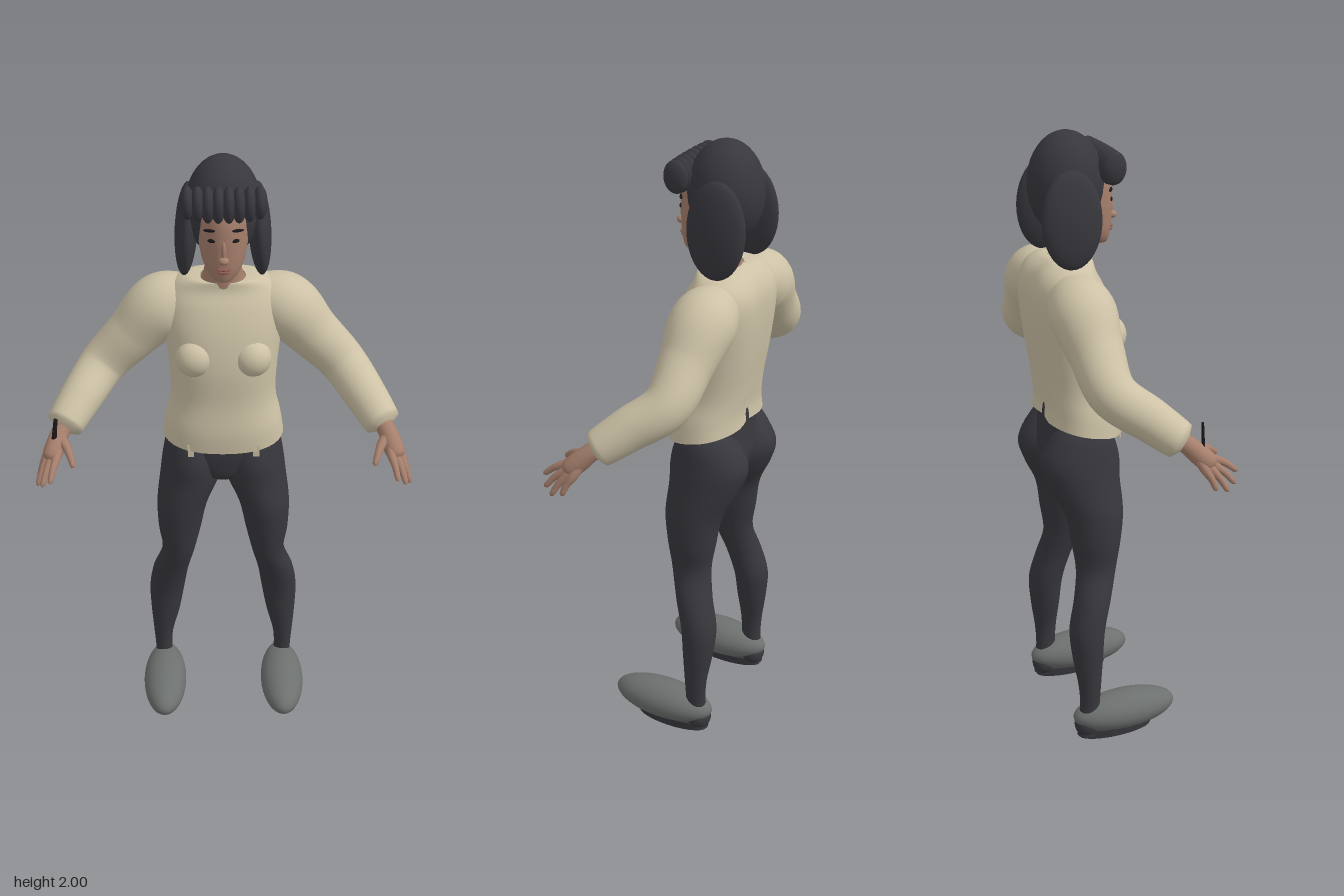
import * as THREE from 'three';

const paint = (name, color) => {
  const m = new THREE.MeshStandardMaterial({ color, side: THREE.DoubleSide });
  m.name = name;
  return m;
};

// Catmull-Rom interpolation through a list of numbers, t from 0 to 1
function smooth(v, t) {
  const n = v.length - 1, i = Math.min(Math.floor(t * n), n - 1), f = t * n - i;
  const p = k => v[Math.max(0, Math.min(n, k))];
  const [a, b, c, d] = [p(i - 1), p(i), p(i + 1), p(i + 2)];
  return b + 0.5 * f * (c - a + f * (2 * a - 5 * b + 4 * c - d + f * (3 * (b - c) + d - a)));
}

// Closed-ring surface: at(u, angle) gives a point
function skinGrid(rows, cols, at) {
  const pos = [], idx = [];
  for (let i = 0; i <= rows; i++)
    for (let j = 0; j < cols; j++) pos.push(...at(i / rows, (j / cols) * Math.PI * 2));
  for (let i = 0; i < rows; i++)
    for (let j = 0; j < cols; j++) {
      const k = (j + 1) % cols, a = i * cols + j, b = i * cols + k;
      idx.push(a, a + cols, b, b, a + cols, b + cols);
    }
  const g = new THREE.BufferGeometry();
  g.setAttribute('position', new THREE.Float32BufferAttribute(pos, 3));
  g.setIndex(idx);
  g.computeVertexNormals();
  return g;
}

// Upright body from rings [y, centre x, radius x, centre z, radius z], bottom to top
function stack(rings, { power = 2, adjust = p => p, rows = 48, cols = 40 } = {}) {
  const track = [0, 1, 2, 3, 4].map(k => rings.map(r => r[k]));
  const bulge = v => Math.sign(v) * Math.abs(v) ** (2 / power);
  return skinGrid(rows, cols, (u, a) => {
    const [y, cx, rx, cz, rz] = track.map(v => smooth(v, u));
    return adjust([cx + rx * bulge(Math.cos(a)), y, cz + rz * bulge(Math.sin(a))]);
  });
}

// Round limb along points [x, y, z, radius], side = 1 left or -1 right
function limb(points, side, rows = 30, cols = 20) {
  const curve = new THREE.CatmullRomCurve3(points.map(p => new THREE.Vector3(p[0] * side, p[1], p[2])));
  const radii = points.map(p => p[3]);
  const { normals, binormals } = curve.computeFrenetFrames(rows);
  return skinGrid(rows, cols, (u, a) => {
    const i = Math.round(u * rows), r = Math.max(smooth(radii, curve.getUtoTmapping(u)), 0.0005);
    return curve.getPointAt(u)
      .addScaledVector(normals[i], r * Math.cos(a))
      .addScaledVector(binormals[i], -r * Math.sin(a)).toArray();
  });
}

export function createModel() {
  const model = new THREE.Group();
  const knit = paint('cream knit', 0xcdc2a6);
  const dark = paint('charcoal', 0x38373d);
  const shoe = paint('shoe grey', 0x6c706e);
  const skin = paint('skin', 0xa67f6c);
  const black = paint('black', 0x1b1819);
  const lipRed = paint('lips', 0x8f5c50);

  const add = (name, geometry, material) => {
    const m = new THREE.Mesh(geometry, material);
    m.name = name;
    model.add(m);
    return m;
  };
  const ball = new THREE.SphereGeometry(1, 32, 20);
  const blob = (name, material, p, s) => {
    const m = add(name, ball, material);
    m.position.set(...p);
    m.scale.set(...s);
    return m;
  };

  // Sweater body: hem rises to the back, shallow groove along the spine
  add('sweaterBody', stack([
    [1.05, 0, 0.195, -0.072, 0.125], [1.12, 0, 0.186, -0.07, 0.125], [1.22, 0, 0.168, -0.08, 0.125],
    [1.34, 0, 0.174, -0.09, 0.135], [1.45, 0, 0.187, -0.105, 0.132], [1.53, 0, 0.188, -0.118, 0.118],
    [1.58, 0, 0.165, -0.12, 0.095], [1.61, 0, 0.12, -0.105, 0.075], [1.615, 0, 0.07, -0.09, 0.06]
  ], {
    power: 2.3,
    adjust: ([x, y, z]) => {
      const low = Math.max(0, 1 - (y - 1.05) / 0.15);
      const groove = z < -0.15 ? 0.016 * Math.exp(-((x / 0.045) ** 2)) : 0;
      return [x, y + low * (0.05 - z) * 0.2, z + groove];
    }
  }), knit);

  // Hips under the hem
  add('hips', stack([
    [0.885, 0, 0.03, -0.08, 0.03], [0.92, 0, 0.1, -0.085, 0.085], [0.98, 0, 0.18, -0.09, 0.105],
    [1.05, 0, 0.18, -0.085, 0.103], [1.14, 0, 0.16, -0.08, 0.1]
  ]), dark);

  for (const s of [1, -1]) {
    const side = s > 0 ? 'left' : 'right';

    // Chest and hem tabs
    blob(side + 'Chest', knit, [s * 0.09, 1.375, 0.005], [0.06, 0.06, 0.053]);
    const tab = add(side + 'HemTab', new THREE.BoxGeometry(0.02, 0.045, 0.006), knit);
    tab.position.set(s * 0.105, 1.052, 0.035);

    // Sleeve, with the cuff turned in at the end
    add(side + 'Sleeve', limb([
      [0.09, 1.525, -0.13, 0.075], [0.19, 1.495, -0.125, 0.103], [0.285, 1.4, -0.117, 0.085],
      [0.38, 1.302, -0.103, 0.074], [0.45, 1.23, -0.01, 0.067], [0.505, 1.168, 0.07, 0.055],
      [0.507, 1.166, 0.073, 0.03]
    ], s, 48, 28), knit);

    // Hand: palm, four fingers and thumb
    add(side + 'Palm', limb([
      [0.48, 1.195, 0.04, 0.028], [0.512, 1.158, 0.085, 0.029], [0.53, 1.122, 0.122, 0.032],
      [0.542, 1.1, 0.145, 0.026], [0.548, 1.088, 0.155, 0]
    ], s), skin);
    const digits = {
      IndexFinger: [[0.522, 1.112, 0.155], [0.54, 1.062, 0.236]],
      MiddleFinger: [[0.54, 1.1, 0.15], [0.568, 1.036, 0.216]],
      RingFinger: [[0.553, 1.094, 0.137], [0.585, 1.022, 0.185]],
      LittleFinger: [[0.557, 1.092, 0.12], [0.582, 1.03, 0.148]],
      Thumb: [[0.492, 1.135, 0.135], [0.466, 1.098, 0.2]]
    };
    for (const [name, [k, tip]] of Object.entries(digits)) {
      const mid = k.map((v, i) => (v + tip[i]) / 2 + (i === 1 ? 0.006 : 0));
      const end = k.map((v, i) => v * 0.08 + tip[i] * 0.92);
      add(side + name, limb([
        [0.518, 1.15, 0.095, 0.018], [...k, 0.015], [...mid, 0.011], [...end, 0.008], [...tip, 0]
      ], s, 20, 10), skin);
    }

    // Trouser leg
    add(side + 'Leg', stack([
      [0.01, 0.21, 0.034, -0.115, 0.038], [0.12, 0.212, 0.029, -0.11, 0.034], [0.2, 0.212, 0.034, -0.11, 0.038],
      [0.3, 0.203, 0.05, -0.113, 0.05], [0.4, 0.195, 0.06, -0.112, 0.058], [0.5, 0.18, 0.06, -0.088, 0.06],
      [0.6, 0.152, 0.055, -0.064, 0.067], [0.7, 0.146, 0.072, -0.062, 0.082], [0.8, 0.136, 0.084, -0.065, 0.096],
      [0.9, 0.108, 0.1, -0.09, 0.12], [0.98, 0.1, 0.097, -0.1, 0.13], [1.06, 0.1, 0.08, -0.09, 0.095],
      [1.1, 0.095, 0.05, -0.085, 0.06]
    ].map(([y, x, ...r]) => [y, x * s, ...r]), { rows: 60, cols: 28 }), dark);

    // Shoe and the dark sole showing below it
    blob(side + 'Shoe', shoe, [s * 0.207, 0.075, 0.015], [0.074, 0.065, 0.18]);
    const sole = add(side + 'Sole', new THREE.CylinderGeometry(1, 0.95, 0.03, 28), dark);
    sole.position.set(s * 0.207, 0.015, -0.018);
    sole.scale.set(0.048, 1, 0.135);
    blob(side + 'Heel', dark, [s * 0.207, 0.045, -0.12], [0.042, 0.043, 0.04]);

    // Hanging hair at the side
    const lock = blob(side + 'HairLock', dark, [s * 0.112, 1.755, -0.123], [0.035, 0.15, 0.096]);
    lock.rotation.z = s * 0.06;

    // Eye and brow
    blob(side + 'Eye', black, [s * 0.036, 1.787, 0.034], [0.012, 0.006, 0.004]).rotation.y = s * 0.35;
    const brow = blob(side + 'Brow', black, [s * 0.042, 1.818, 0.029], [0.02, 0.005, 0.005]);
    brow.rotation.set(0, s * 0.45, -s * 0.1);
  }

  // Neck and head
  add('neck', stack([
    [1.58, 0, 0.08, -0.095, 0.066], [1.62, 0, 0.064, -0.088, 0.06], [1.66, 0, 0.056, -0.08, 0.056],
    [1.72, 0, 0.056, -0.075, 0.056]
  ]), skin);
  add('head', stack([
    [1.645, 0, 0.004, 0.01, 0.004], [1.65, 0, 0.027, 0.003, 0.028], [1.67, 0, 0.048, -0.015, 0.053],
    [1.7, 0, 0.064, -0.037, 0.08], [1.74, 0, 0.073, -0.052, 0.097], [1.79, 0, 0.079, -0.062, 0.107],
    [1.85, 0, 0.08, -0.067, 0.105], [1.91, 0, 0.065, -0.07, 0.08], [1.94, 0, 0.01, -0.07, 0.01]
  ]), skin);
  blob('noseBridge', skin, [0, 1.755, 0.042], [0.008, 0.035, 0.012]);
  blob('noseTip', skin, [0, 1.729, 0.05], [0.016, 0.012, 0.016]);
  blob('upperLip', lipRed, [0, 1.697, 0.042], [0.022, 0.005, 0.008]);
  blob('lowerLip', lipRed, [0, 1.687, 0.04], [0.018, 0.006, 0.008]);

  // Hair cap and the row of rolls over the forehead
  blob('hairCap', dark, [0, 1.84, -0.1], [0.115, 0.16, 0.118]);
  for (let i = 0; i < 8; i++) {
    const x = (i - 3.5) * 0.0305, bend = (x / 0.107) ** 2;
    blob('hairRoll', dark, [x, 1.893 + 0.006 * bend, 0.018 - 0.006 * bend], [0.0215, 0.057 - 0.006 * bend, 0.04]);
  }

  // Thin dark pin standing on the right wrist
  const pin = add('wristPin', new THREE.CylinderGeometry(0.003, 0.004, 0.075, 8), black);
  pin.position.set(-0.525, 1.193, 0.124);
  pin.scale.x = 2;
  pin.rotation.z = -0.12;

  return model;
}
